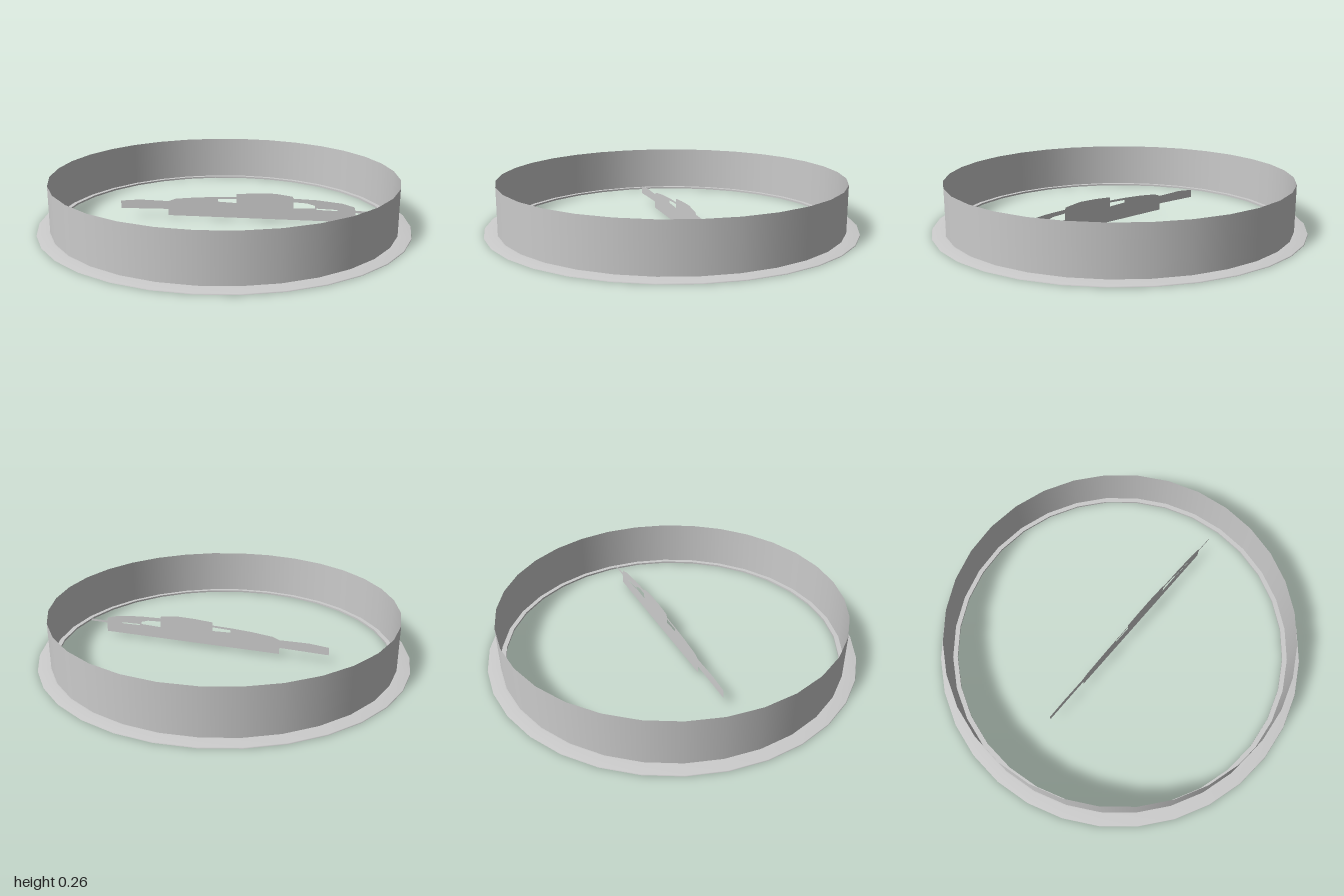
import * as THREE from 'three';

const SIDES = 32;
const v2 = (list) => list.map(([x, y]) => new THREE.Vector2(x, y));

export function createModel() {
  const model = new THREE.Group();
  const material = new THREE.MeshStandardMaterial({ color: 0xcccccc, side: THREE.DoubleSide });

  const add = (parent, name, geometry) => {
    const mesh = new THREE.Mesh(geometry, material);
    mesh.name = name;
    parent.add(mesh);
  };
  const ring = (profile) => new THREE.LatheGeometry(v2(profile), SIDES);

  // Thin upright band
  add(model, 'bandWall', ring([[0.93, 0.01], [0.93, 0.26]]));

  // Flat flange: each face is its own strip so that the edges stay sharp
  const flange = new THREE.Group();
  flange.name = 'flange';
  model.add(flange);
  add(flange, 'flangeUnderside', ring([[0.905, 0], [1, 0]]));
  add(flange, 'flangeTop', ring([[1, 0], [0.998, 0.005], [0.935, 0.01]]));
  add(flange, 'innerLedge', ring([[0.935, 0.01], [0.905, 0.01]]));
  add(flange, 'innerLip', ring([[0.905, 0.01], [0.905, 0]]));

  // Flat upright cut-out standing across the middle: tail, body and thin nose rod
  const outline = new THREE.Shape(v2([
    [-0.577, 0.047], [-0.31, 0.052], [-0.31, 0.016], [0.706, 0.016],
    [0.706, 0.068], [0.805, 0.068], [0.805, 0.08], [0.706, 0.08],
    [0.7, 0.1], [0.635, 0.118], [0.5, 0.132], [0.375, 0.136],
    [0.37, 0.147], [0.275, 0.16], [0.17, 0.158], [0.068, 0.151],
    [0.068, 0.133], [-0.04, 0.13], [-0.15, 0.124], [-0.27, 0.112],
    [-0.31, 0.097], [-0.47, 0.1], [-0.577, 0.09],
  ]));
  const openings = [
    // slot behind the raised section
    [[-0.035, 0.104], [0.068, 0.1], [0.068, 0.122], [-0.035, 0.118]],
    // window ahead of the raised section
    [[0.375, 0.082], [0.49, 0.086], [0.49, 0.1], [0.45, 0.112], [0.375, 0.116]],
    // narrow slit
    [[0.5, 0.078], [0.61, 0.076], [0.61, 0.082], [0.5, 0.085]],
  ];
  for (const points of openings) outline.holes.push(new THREE.Path(v2(points)));
  add(model, 'centreCutout', new THREE.ShapeGeometry(outline));

  return model;
}
